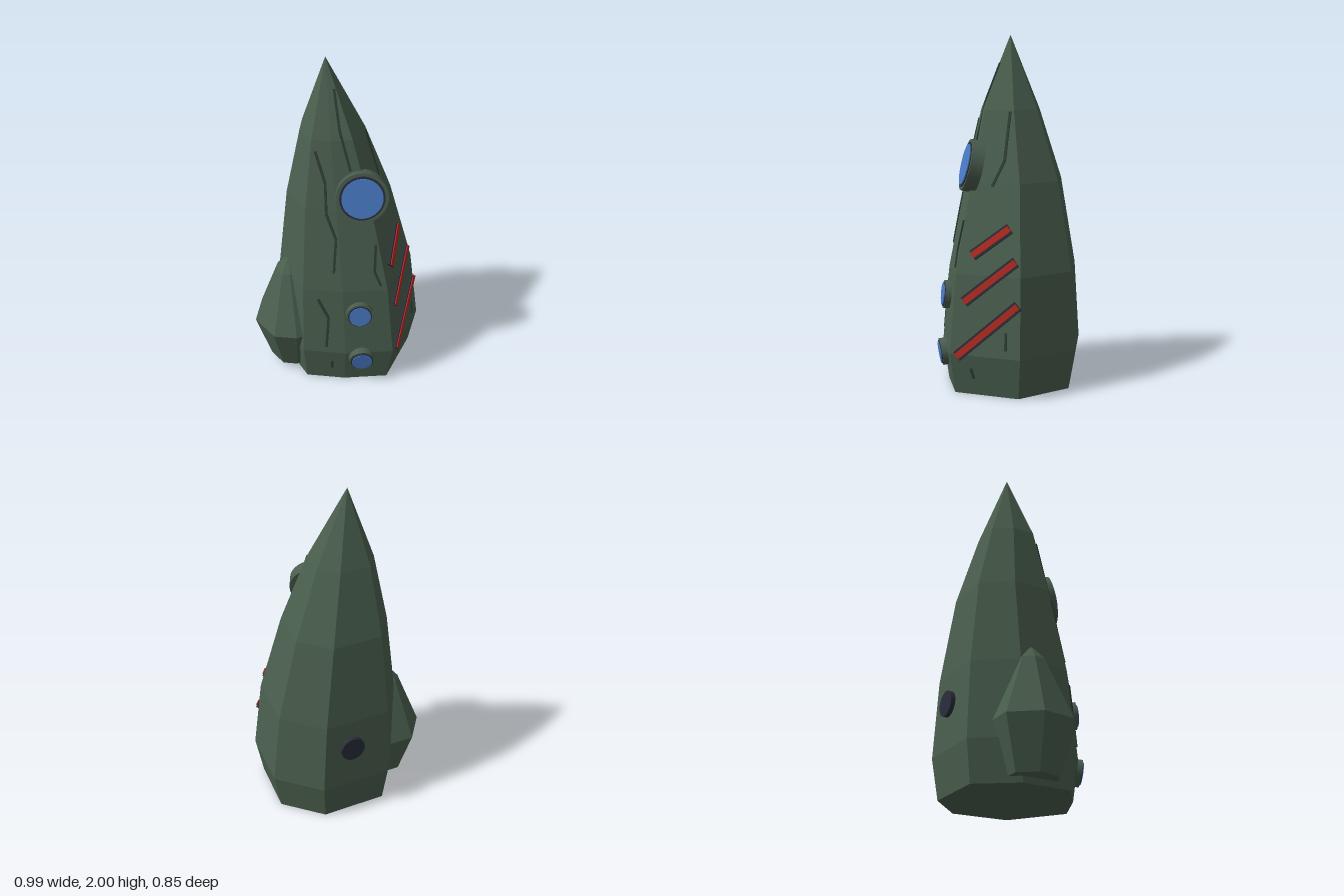
import * as THREE from 'three';

const paint = (name, color, extra = {}) => {
  const m = new THREE.MeshStandardMaterial({ color, ...extra });
  m.name = name;
  return m;
};

// Faceted shell from scaled copies of one outline; rings are [y, centreX, centreZ, scale]
function loft(outline, rings) {
  const n = outline.length, pos = [];
  const at = ([y, cx, cz, s], i) => {
    const [x, z] = outline[i % n];
    return [cx + x * s, y, cz + z * s];
  };
  for (let i = 0; i < n; i++) {
    const r0 = rings[0];
    pos.push(...[r0[1], r0[0], r0[2]], ...at(r0, i + 1), ...at(r0, i));
    for (let k = 0; k + 1 < rings.length; k++) {
      const a = rings[k], b = rings[k + 1];
      pos.push(...at(a, i), ...at(a, i + 1), ...at(b, i + 1));
      if (b[3] > 0) pos.push(...at(a, i), ...at(b, i + 1), ...at(b, i));
    }
  }
  const g = new THREE.BufferGeometry();
  g.setAttribute('position', new THREE.Float32BufferAttribute(pos, 3));
  g.computeVertexNormals();
  return g;
}

export function createModel() {
  const model = new THREE.Group();
  model.name = 'spire';
  const green = paint('hull green', 0x4a5f4e, { flatShading: true });
  const rimGreen = paint('rim green', 0x4a5d4e);
  const crackGreen = paint('crack dark green', 0x303d34);
  const navy = paint('dark navy', 0x2a2d3a);
  const blue = paint('glass blue', 0x4a7bc8);
  const red = paint('stripe red', 0xb02a20);

  const add = (name, geometry, material, parent = model) => {
    const mesh = new THREE.Mesh(geometry, material);
    mesh.name = name;
    parent.add(mesh);
    return mesh;
  };

  // Main leaning spire
  const body = add('body', loft(
    [[0.06, 0.415], [0.39, 0.17], [0.41, -0.205], [0.18, -0.42],
      [-0.24, -0.42], [-0.41, -0.175], [-0.405, 0.145], [-0.2, 0.295]],
    [[0, 0.075, 0, 0.91], [0.235, 0.08, 0.005, 1], [0.68, 0.068, -0.015, 0.915],
      [1.18, 0.04, -0.055, 0.69], [1.58, 0.005, -0.07, 0.42], [2, -0.02, -0.11, 0]]), green);

  // Small side spur
  add('sideSpur', loft(
    [[0.08, 0.23], [0.2, 0.08], [0.2, -0.08], [0.08, -0.215],
      [-0.09, -0.215], [-0.21, -0.055], [-0.18, 0.14], [-0.07, 0.22]],
    [[0.035, -0.28, -0.09, 0.62], [0.33, -0.29, -0.09, 1],
      [0.69, -0.29, -0.1, 0.34], [0.78, -0.285, -0.1, 0]]), green);

  // Find the hull surface in front of (or behind) x, y
  const ray = new THREE.Raycaster();
  const onHull = (x, y, side = 1) => {
    ray.set(new THREE.Vector3(x, y, 3 * side), new THREE.Vector3(0, 0, -side));
    const hit = ray.intersectObject(body)[0];
    return { point: hit.point, normal: hit.face.normal.clone() };
  };

  // Round fittings: local y points out of the hull
  const fitting = (name, x, y, side = 1) => {
    const { point, normal } = onHull(x, y, side);
    const g = new THREE.Group();
    g.name = name;
    g.position.copy(point);
    g.quaternion.setFromUnitVectors(new THREE.Vector3(0, 1, 0), normal);
    model.add(g);
    return g;
  };
  const disc = (r, top, depth) =>
    new THREE.CylinderGeometry(r, r, depth, 32).translate(0, top - depth / 2, 0);

  for (const [x, y, r] of [[0.04, 1.265, 0.148], [-0.032, 0.525, 0.08], [-0.028, 0.195, 0.078]]) {
    const port = fitting('porthole', x, y);
    const h = 0.02 + r * 0.16;
    add('portholeRim', disc(r, h, h + 0.03), rimGreen, port);
    add('portholeSeal', disc(r * 0.87, h + 0.004, 0.02), navy, port);
    add('portholeGlass', disc(r * 0.79, h + 0.009, 0.02), blue, port);
  }
  add('rearHatch', disc(0.073, 0.025, 0.05), navy, fitting('rearHatchMount', 0.08, 0.5, -1));

  // Bar lying on the hull between two points given in x, y
  const bar = (name, a, b, width, height, material) => {
    const p = onHull(...a).point, q = onHull(...b).point;
    const { normal } = onHull((a[0] + b[0]) / 2, (a[1] + b[1]) / 2);
    const along = q.clone().sub(p);
    const length = along.length();
    const ux = along.normalize();
    const uy = normal.cross(ux).normalize();
    const uz = ux.clone().cross(uy);
    const mesh = add(name, new THREE.BoxGeometry(length, width, height * 2), material);
    mesh.quaternion.setFromRotationMatrix(new THREE.Matrix4().makeBasis(ux, uy, uz));
    mesh.position.copy(p).add(q).multiplyScalar(0.5);
  };

  // Slanted stripes in dark frames
  for (const [a, b] of [[[0.18, 0.785], [0.318, 0.94]], [[0.18, 0.53], [0.385, 0.765]], [[0.175, 0.225], [0.43, 0.53]]]) {
    bar('stripeFrame', a, b, 0.06, 0.014, navy);
    bar('stripe', a, b, 0.036, 0.02, red);
  }

  // Raised crack lines
  const cracks = [
    [[-0.01, 1.84], [-0.025, 1.63], [0, 1.41]],
    [[-0.155, 1.52], [-0.13, 1.34], [-0.145, 1.16], [-0.115, 1.01], [-0.145, 0.8]],
    [[0.155, 1.57], [0.205, 1.3], [0.185, 1.16]],
    [[0.085, 0.97], [0.065, 0.8], [0.09, 0.71]],
    [[-0.235, 0.62], [-0.19, 0.49], [-0.21, 0.28]],
    [[-0.18, 0.16], [-0.175, 0.1]],
    [[0.39, 0.38], [0.4, 0.28]],
    [[0.23, 0.16], [0.235, 0.1]],
  ];
  for (const line of cracks)
    for (let i = 0; i + 1 < line.length; i++) bar('crack', line[i], line[i + 1], 0.014, 0.008, crackGreen);

  return model;
}
